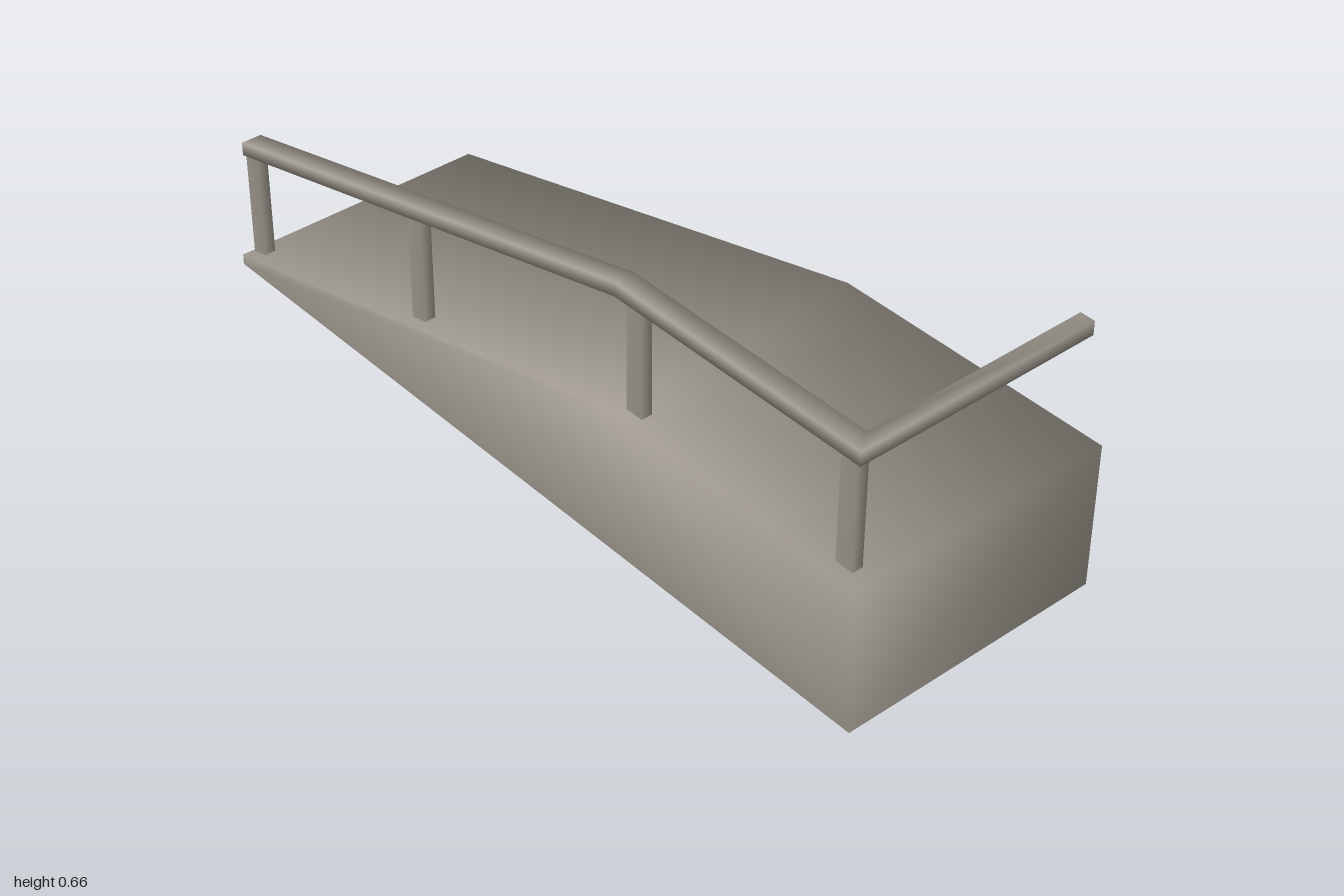
import * as THREE from 'three';

function buildGeometry(positions, normals, index) {
  const geometry = new THREE.BufferGeometry();
  geometry.setAttribute('position', new THREE.Float32BufferAttribute(positions, 3));
  geometry.setAttribute('normal', new THREE.Float32BufferAttribute(normals, 3));
  geometry.setIndex(index);
  geometry.normalizeNormals();
  return geometry;
}

// Ramp shell, open below: outline points with the soft normal's x and y
function rampGeometry(halfDepth) {
  const outline = [
    [-1, 0.01, -1, 0],
    [-1, 0.036, -1.1, 0.84],
    [0.295, 0.361, -0.13, 1.07],
    [1, 0.361, 1, 1],
    [1, 0.01, 1, 0],
  ];
  const positions = [], normals = [], index = [];
  for (const [x, y, nx, ny] of outline) {
    for (const side of [1, -1]) {
      positions.push(x, y, side * halfDepth);
      normals.push(nx, ny, side);
    }
  }
  // End walls, slope and landing
  for (let i = 0; i < outline.length - 1; i++) {
    const a = i * 2;
    index.push(a, a + 2, a + 1, a + 1, a + 2, a + 3);
  }
  // Front and back walls
  for (const [a, b, c] of [[0, 2, 1], [0, 4, 2], [2, 4, 3]]) {
    index.push(a * 2, b * 2, c * 2, a * 2 + 1, c * 2 + 1, b * 2 + 1);
  }
  return buildGeometry(positions, normals, index);
}

// Capped four-sided bar with soft edges, through sections of centre c and half-widths h and v
function barGeometry(sections) {
  const positions = [], normals = [], index = [];
  for (const { c, h, v } of sections) {
    const centre = new THREE.Vector3(...c);
    const across = new THREE.Vector3(...h), up = new THREE.Vector3(...v);
    const acrossDir = across.clone().normalize(), upDir = up.clone().normalize();
    for (const [s, t] of [[1, 1], [-1, 1], [-1, -1], [1, -1]]) {
      const corner = centre.clone().addScaledVector(across, s).addScaledVector(up, t);
      positions.push(...corner);
      normals.push(...acrossDir.clone().multiplyScalar(s).addScaledVector(upDir, t));
    }
  }
  for (let i = 0; i < sections.length - 1; i++) {
    for (let j = 0; j < 4; j++) {
      const a = i * 4 + j, b = i * 4 + ((j + 1) % 4);
      index.push(a, a + 4, b, b, a + 4, b + 4);
    }
  }
  const last = (sections.length - 1) * 4;
  index.push(0, 1, 2, 0, 2, 3, last, last + 2, last + 1, last, last + 3, last + 2);
  return buildGeometry(positions, normals, index);
}

export function createModel() {
  const model = new THREE.Group();
  model.name = 'accessRamp';
  const stone = new THREE.MeshStandardMaterial({ color: 0xa09a90, side: THREE.DoubleSide });
  stone.name = 'warm grey';

  const add = (name, geometry) => {
    const mesh = new THREE.Mesh(geometry, stone);
    mesh.name = name;
    model.add(mesh);
  };

  // Sloping ramp with a level landing
  add('rampBody', rampGeometry(0.325));

  // Handrail: up the slope, along the landing, then across its end
  const v = [0, 0.0165, 0];
  add('handrail', barGeometry([
    { c: [-1, 0.313, 0.276], h: [0, 0, 0.025], v },
    { c: [0.305, 0.6465, 0.287], h: [0, 0, 0.025], v },
    { c: [0.96, 0.6465, 0.287], h: [0.018, 0, 0.025], v },
    { c: [0.96, 0.6465, -0.289], h: [0.018, 0, 0], v },
  ]));

  // Posts under the handrail: x, bottom, top
  const posts = [
    [-0.972, 0, 0.316], [-0.36, 0.185, 0.475], [0.345, 0.345, 0.645], [0.935, 0.345, 0.645],
  ];
  for (const [x, bottom, top] of posts) {
    add('railPost', barGeometry([bottom, top].map((y) => (
      { c: [x, y, 0.283], h: [0.0225, 0, 0], v: [0, 0, 0.013] }
    ))));
  }
  return model;
}
